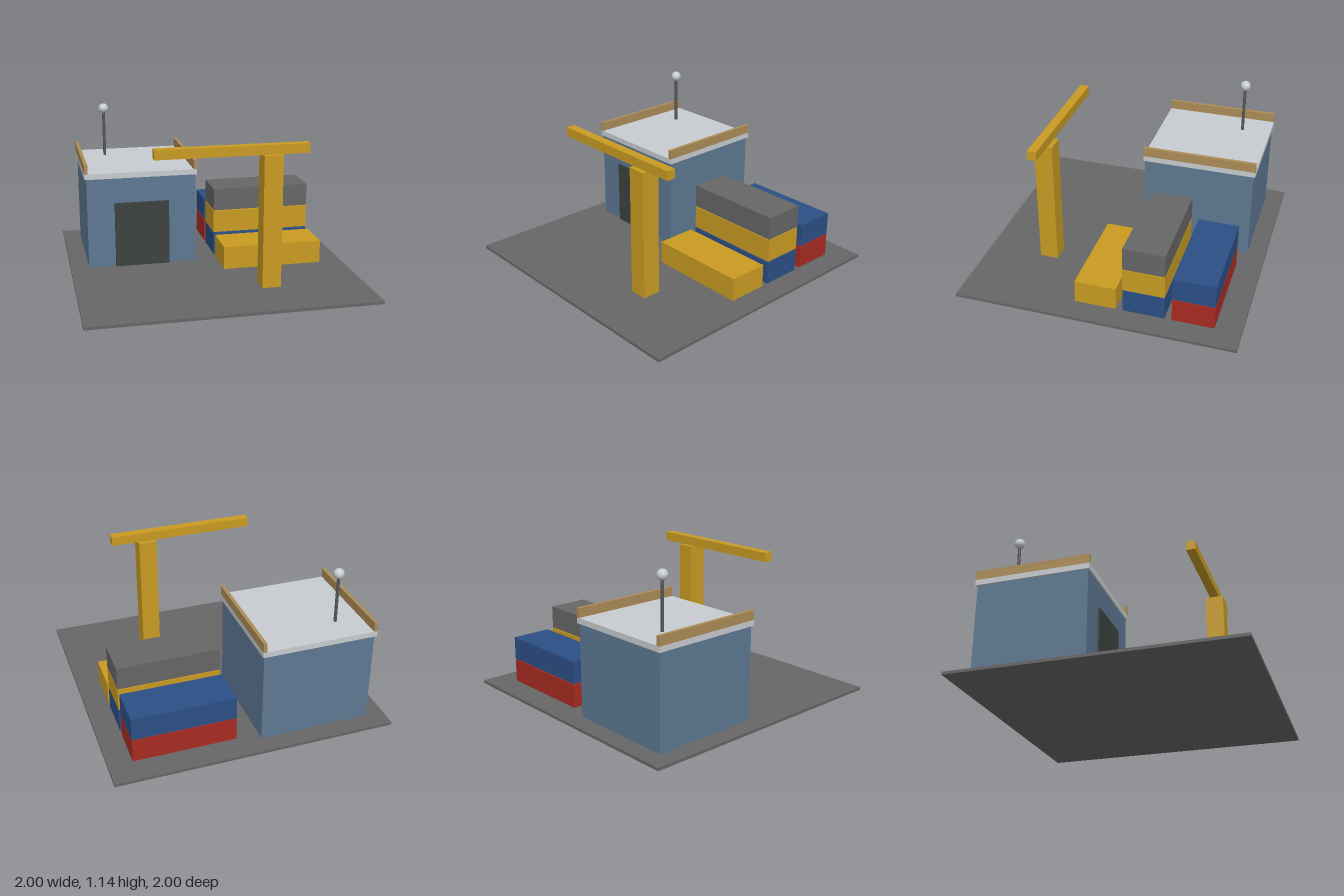
import * as THREE from 'three';

const mat = (name, color) => {
  const m = new THREE.MeshStandardMaterial({ color });
  m.name = name;
  return m;
};

export function createModel() {
  const model = new THREE.Group();
  model.name = 'cargoYard';

  const grey = mat('asphalt grey', 0x666666);
  const wall = mat('slate blue', 0x5d7892);
  const pale = mat('pale grey', 0xc8ccd0);
  const tan = mat('tan', 0xac8d57);
  const dark = mat('charcoal', 0x3c4140);
  const yellow = mat('yellow', 0xc99b22);
  const blue = mat('blue', 0x2c4f86);
  const red = mat('red', 0xa82c22);
  const steel = mat('steel grey', 0x55585a);

  const add = (parent, name, geometry, material, x, y, z) => {
    const mesh = new THREE.Mesh(geometry, material);
    mesh.name = name;
    mesh.position.set(x, y, z);
    parent.add(mesh);
  };
  // Box given by its extents along each axis
  const box = (parent, name, material, [x0, x1], [y0, y1], [z0, z1]) =>
    add(parent, name, new THREE.BoxGeometry(x1 - x0, y1 - y0, z1 - z0), material,
      (x0 + x1) / 2, (y0 + y1) / 2, (z0 + z1) / 2);
  const group = (name) => {
    const g = new THREE.Group();
    g.name = name;
    model.add(g);
    return g;
  };

  // Ground slab
  box(model, 'groundSlab', grey, [-1, 1], [0, 0.021], [-1, 1]);

  // Warehouse with roof, side parapets and door
  const house = group('warehouse');
  const roof = [-0.88, -0.056];
  box(house, 'walls', wall, [-0.867, -0.067], [0.021, 0.69], [-0.867, -0.067]);
  box(house, 'roofSlab', pale, roof, [0.69, 0.73], roof);
  box(house, 'parapetRight', tan, [-0.88, -0.855], [0.73, 0.797], roof);
  box(house, 'parapetLeft', tan, [-0.081, -0.056], [0.73, 0.797], roof);
  box(house, 'door', dark, [-0.668, -0.268], [0.021, 0.503], [-0.067, -0.053]);

  // Roof antenna
  add(house, 'antennaPole', new THREE.CylinderGeometry(0.011, 0.011, 0.37, 12), steel, -0.668, 0.915, -0.668);
  add(house, 'antennaBall', new THREE.SphereGeometry(0.038, 24, 16), pale, -0.668, 1.098, -0.668);

  // Container stacks, each listed from the bottom up
  const containers = group('containers');
  const stacks = [[0.025, [yellow]], [-0.32, [blue, yellow, grey]], [-0.667, [red, blue]]];
  const levels = [[0.021, 0.19], [0.197, 0.364], [0.37, 0.537]];
  for (const [z, colours] of stacks) {
    colours.forEach((c, i) => box(containers, 'container', c, [0.096, 0.83], levels[i], [z - 0.148, z + 0.148]));
  }

  // Crane
  const crane = group('crane');
  box(crane, 'cranePost', yellow, [0.267, 0.4], [0.021, 0.958], [0.467, 0.6]);
  box(crane, 'craneBeam', yellow, [-0.47, 0.597], [0.958, 1.025], [0.5, 0.566]);

  return model;
}
